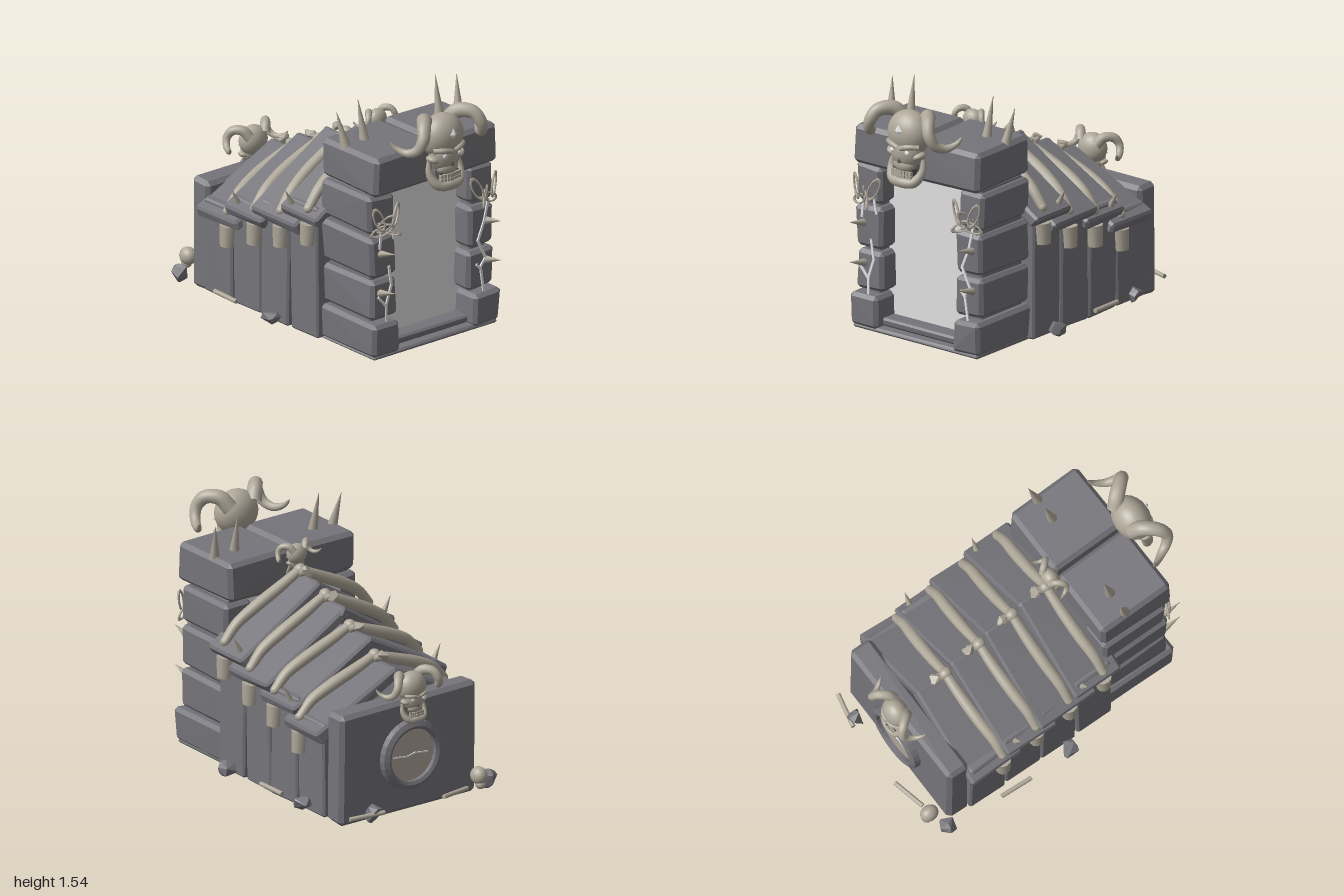
import * as THREE from 'three';
import { ConvexGeometry } from 'three/addons/geometries/ConvexGeometry.js';

const V = (x, y, z) => new THREE.Vector3(x, y, z);

export function createModel() {
  const root = new THREE.Group();
  root.name = 'crypt';
  const mat = (name, color, opts = {}) => {
    const m = new THREE.MeshStandardMaterial({ color, ...opts });
    m.name = name;
    return m;
  };
  const stoneMat = mat('stone', 0x75747a, { flatShading: true, side: THREE.DoubleSide });
  const boneMat = mat('bone', 0xaea799);
  const glowMat = mat('pale crack', 0xececee);
  const panelMat = mat('doorway grey', 0xe2e2e2, { side: THREE.DoubleSide });
  const darkMat = mat('socket', 0x55514a);

  let seed = 7;
  const rnd = () => (seed = (seed * 16807) % 2147483647) / 2147483647;

  const add = (name, geo, material, parent = root) => {
    const m = new THREE.Mesh(geo, material);
    m.name = name;
    parent.add(m);
    return m;
  };

  // Chamfered, slightly irregular block; corners only move inward
  const block = (name, c, size, bevel = 0.02, jitter = 0.02) => {
    const pts = [];
    for (const sx of [-1, 1]) for (const sy of [-1, 1]) for (const sz of [-1, 1]) {
      const s = [sx, sy, sz];
      const p = s.map((k, i) => k * (size[i] / 2 - rnd() * jitter));
      for (let f = 0; f < 3; f++) {
        const q = p.map((v, i) => (i === f ? v : v - s[i] * bevel));
        pts.push(V(...q));
      }
    }
    const m = add(name, new ConvexGeometry(pts), stoneMat);
    m.position.set(...c);
    return m;
  };

  // Irregular loose rock
  const rubble = (name, c, r, material = stoneMat) => {
    const pts = Array.from({ length: 14 }, () =>
      V(rnd() - 0.5, rnd() - 0.5, rnd() - 0.5).normalize().multiplyScalar(r * (0.85 + 0.3 * rnd())));
    add(name, new ConvexGeometry(pts), material).position.set(...c);
  };

  // Tapered rod between two points
  const rod = (name, a, b, r0, r1, parent = root, sides = 12) => {
    const d = b.clone().sub(a);
    const m = add(name, new THREE.CylinderGeometry(r1, r0, d.length(), sides), boneMat, parent);
    m.position.copy(a).lerp(b, 0.5);
    m.quaternion.setFromUnitVectors(V(0, 1, 0), d.normalize());
    return m;
  };

  // Tube along a smooth path with a radius that varies from 0 to 1
  const taper = (name, pts, radius, parent = root, n = 32, sides = 12) => {
    const path = new THREE.CatmullRomCurve3(pts);
    const g = new THREE.TubeGeometry(path, n, 1, sides);
    const pos = g.attributes.position, v = V(0, 0, 0);
    for (let i = 0; i <= n; i++) {
      const c = path.getPointAt(i / n), r = radius(i / n);
      for (let j = 0; j <= sides; j++) {
        const k = i * (sides + 1) + j;
        v.fromBufferAttribute(pos, k).sub(c).multiplyScalar(r).add(c);
        pos.setXYZ(k, v.x, v.y, v.z);
      }
    }
    return add(name, g, boneMat, parent);
  };

  const ball = (name, c, s, material, parent) => {
    const m = add(name, new THREE.SphereGeometry(1, 24, 16), material, parent);
    m.position.set(...c);
    m.scale.set(...s);
    return m;
  };

  // Horned skull, facing +z
  const skull = (name, pos, scale, yaw, gem) => {
    const g = new THREE.Group();
    g.name = name;
    g.position.set(...pos);
    g.rotation.y = yaw;
    g.scale.setScalar(scale);
    root.add(g);
    ball('cranium', [0, 0.02, -0.01], [0.142, 0.138, 0.11], boneMat, g);
    ball('face', [0, -0.085, 0.015], [0.108, 0.115, 0.08], boneMat, g);
    ball('muzzle', [0, -0.165, 0.04], [0.075, 0.05, 0.045], boneMat, g);
    for (const s of [-1, 1]) {
      ball('cheekbone', [s * 0.095, -0.105, 0.02], [0.042, 0.025, 0.045], boneMat, g).rotation.z = s * 0.4;
      ball('eye', [s * 0.056, -0.075, 0.085], [0.016, 0.014, 0.008], glowMat, g);
      taper('brow', [V(s * 0.012, -0.052, 0.088), V(s * 0.06, -0.038, 0.084), V(s * 0.115, -0.04, 0.045)], () => 0.017, g, 12);
      taper('horn', [V(s * 0.085, 0.075, -0.065), V(s * 0.13, 0.14, -0.02), V(s * 0.19, 0.135, 0.05),
        V(s * 0.225, 0.07, 0.085), V(s * 0.25, 0.005, 0.06), V(s * 0.28, -0.022, 0),
        V(s * 0.315, 0.0, -0.06), V(s * 0.335, 0.04, -0.09)],
      t => 0.05 * Math.pow(1 - t, 0.5) + 0.001, g, 40);
    }
    const nose = add('noseHole', new THREE.ConeGeometry(0.018, 0.04, 3), darkMat, g);
    nose.position.set(0, -0.125, 0.088);
    taper('jaw', [V(-0.105, -0.1, -0.01), V(-0.115, -0.2, 0.015), V(-0.08, -0.262, 0.05), V(0, -0.27, 0.065),
      V(0.08, -0.262, 0.05), V(0.115, -0.2, 0.015), V(0.105, -0.1, -0.01)],
    t => 0.008 + 0.027 * Math.sin(Math.PI * t), g);
    add('mouth', new THREE.BoxGeometry(0.14, 0.07, 0.05), darkMat, g).position.set(0, -0.222, 0.035);
    for (let i = -3; i <= 3; i++) for (const y of [-0.208, -0.235]) {
      const t = add('tooth', new THREE.BoxGeometry(0.019, 0.024, 0.02), boneMat, g);
      t.position.set(i * 0.022, y, 0.075 - Math.abs(i) * 0.004);
    }
    if (gem) {
      const d = add('foreheadGem', new THREE.OctahedronGeometry(1), glowMat, g);
      d.scale.set(0.026, 0.04, 0.015);
      d.position.set(0, 0.055, 0.095);
    }
  };
  skull('frontSkull', [0, 1.35, 0.87], 1, 0, true);
  skull('backSkull', [0, 0.79, -0.87], 0.67, Math.PI, false);
  skull('ridgeSkull', [0, 1.28, 0.27], 0.46, 0, false);

  // Portal: floor, sill, doorway panels front and inner
  block('portalFloor', [0, 0.045, 0.56], [0.96, 0.04, 0.5], 0.01, 0.01);
  block('sill', [0, 0.085, 0.68], [0.64, 0.06, 0.16], 0.012, 0.008);
  for (const z of [0.65, 0.26])
    add('doorwayPanel', new THREE.PlaneGeometry(0.64, 1.02), panelMat).position.set(0, 0.57, z);

  // Pillar rows: centre x, width, bottom, top, front z
  const rows = [[0.388, 0.215, 0.04, 0.26, 0.83], [0.375, 0.21, 0.265, 0.52, 0.787],
    [0.38, 0.21, 0.53, 0.8, 0.787], [0.385, 0.21, 0.815, 1.06, 0.775]];
  for (const s of [-1, 1]) {
    for (const [x, w, y0, y1, z] of rows)
      block('pillarStone', [s * x, (y0 + y1) / 2, (z + 0.31) / 2], [w, y1 - y0, z - 0.31], 0.022, 0.014);
    block('pillarCore', [s * 0.385, 0.55, 0.54], [0.12, 1.04, 0.38], 0.01, 0);
    block('lintelStone', [s * 0.241, 1.185, 0.555], [0.475, 0.26, 0.52], 0.025, 0.015);

    // Upright and forward spikes
    for (const [x, dx, h] of [[0.29, 0.01, 0.25], [0.435, 0.03, 0.21]])
      rod('lintelSpike', V(s * x, 1.29, 0.495), V(s * (x + dx), 1.3 + h, 0.445), 0.032, 0.001);
    for (const y of [0.7, 0.45])
      rod('pillarSpike', V(s * 0.41, y - 0.01, 0.77), V(s * 0.41, y + 0.03, 0.915), 0.026, 0.001, root, 8);

    // Hanging chain links
    for (const [x, y, tilt, turn] of [[0.445, 0.925, 0.35, 0.5], [0.315, 0.925, -0.45, -0.4],
      [0.39, 0.885, -0.7, 0.9], [0.37, 0.85, 1.2, 0.8], [0.42, 0.85, -1.2, 0.4]]) {
      const link = add('chainLink', new THREE.TorusGeometry(0.038, 0.007, 6, 10), boneMat);
      link.scale.set(0.75, 1.9, 1);
      link.position.set(s * x, y, 0.81);
      link.rotation.set(0, s * turn, -s * tilt);
    }
  }

  // Pale zigzag cracks on the pillar fronts and window
  const crack = (pts, z, w = 0.015) => {
    for (let i = 1; i < pts.length; i++) {
      const [ax, ay] = pts[i - 1], [bx, by] = pts[i];
      const m = add('crack', new THREE.BoxGeometry(w, Math.hypot(bx - ax, by - ay) + w / 2, 0.009), glowMat);
      m.position.set((ax + bx) / 2, (ay + by) / 2, z);
      m.rotation.z = Math.atan2(ax - bx, by - ay);
    }
  };
  crack([[0.42, 0.83], [0.39, 0.7], [0.34, 0.58], [0.4, 0.46], [0.36, 0.41], [0.385, 0.25]], 0.787);
  crack([[0.36, 0.4], [0.33, 0.43]], 0.787);
  crack([[-0.35, 0.6], [-0.33, 0.48], [-0.37, 0.36], [-0.37, 0.25]], 0.787);
  crack([[-0.43, 0.42], [-0.37, 0.35]], 0.787);
  crack([[-0.41, 0.82], [-0.42, 0.73]], 0.787);
  crack([[-0.33, 0.86], [-0.31, 0.77]], 0.787);

  // Stepped tunnel: [z front, z back, ridge y, eave y, rib z]
  const bays = [[0.38, 0.03, 1.18, 0.83, 0.25], [0.2, -0.22, 1.1, 0.74, 0.0],
    [-0.1, -0.47, 0.98, 0.68, -0.24], [-0.34, -0.72, 0.87, 0.59, -0.485]];
  bays.forEach(([z0, z1, ridge, eave, rz], i) => {
    const zc = (z0 + z1) / 2, wz = 0.34 - (i + 0.5) * 0.26;
    for (const s of [-1, 1]) {
      const top = eave + 0.04;
      const wall = block('wallStone', [s * 0.465, top / 2 + 0.015, wz], [0.13, top - 0.03, 0.265], 0.012, 0.012);
      wall.rotation.x = (i % 2 ? 1 : -1) * 0.012;
      // Sloping roof slab
      const ang = Math.atan2(ridge - eave, 0.57), len = Math.hypot(0.57, ridge - eave);
      const slab = block('roofSlab', [s * (0.292 - 0.045 * Math.sin(ang)), (ridge + eave) / 2 - 0.045 * Math.cos(ang), zc],
        [len + 0.035, 0.09, z0 - z1], 0.015, 0.015);
      slab.rotation.z = -s * ang;
      // Rib bowed over the slab, with a stub under the eave
      const at = (x, lift) => ridge + (eave - ridge) * x / 0.57 + lift;
      taper('rib', [V(0, ridge + 0.015, rz - 0.015), V(s * 0.13, at(0.13, 0.03), rz - 0.015),
        V(s * 0.32, at(0.32, 0.05), rz - 0.005), V(s * 0.45, at(0.45, 0.045), rz + 0.01), V(s * 0.53, at(0.53, 0.0), rz + 0.015)],
      t => 0.029 + 0.008 * Math.sin(Math.PI * t), root, 24);
      ball('ribEnd', [s * 0.53, at(0.53, 0), rz + 0.015], [0.029, 0.029, 0.029], boneMat, root);
      rod('ribStub', V(s * 0.535, eave - 0.2, rz + 0.015), V(s * 0.525, eave - 0.07, rz + 0.015), 0.045, 0.055);
      if (i % 2 === 0)
        rod('eaveSpike', V(s * 0.52, eave - 0.01, zc - 0.09), V(s * 0.58, eave + 0.105, zc - 0.09), 0.024, 0.001);
    }
    // Ridge vertebra with spur and chip
    ball('vertebra', [0, ridge + 0.02, rz - 0.015], [0.036, 0.034, 0.04], boneMat, root);
    rod('vertebraSpur', V(0, ridge, rz - 0.03), V(0.015, ridge + 0.03, rz - 0.09), 0.03, 0.015);
    rubble('ridgeChip', [0, ridge + 0.03, rz - 0.095], 0.037, boneMat);
  });

  // Back wall with round window
  block('backWall', [0, 0.365, -0.765], [1.02, 0.71, 0.16], 0.025, 0.014);
  const ring = add('windowRing', new THREE.LatheGeometry([[0.22, 0], [0.215, 0.045], [0.185, 0.06],
    [0.165, 0.05], [0.165, 0]].map(p => new THREE.Vector2(...p)), 28), stoneMat);
  ring.position.set(0, 0.37, -0.835);
  ring.rotation.x = -Math.PI / 2;
  const glass = add('windowDisc', new THREE.CylinderGeometry(0.17, 0.17, 0.03, 28), boneMat);
  glass.position.set(0, 0.37, -0.845);
  glass.rotation.x = Math.PI / 2;
  crack([[-0.12, 0.36], [-0.03, 0.375], [0.03, 0.362], [0.13, 0.375]], -0.861, 0.008);

  // Rubble and bones around the base
  for (const [x, y, z, r] of [[0.575, 0.09, 0.18, 0.055], [0.58, 0.085, -0.56, 0.055], [-0.58, 0.09, -0.02, 0.055],
    [-0.55, 0.09, -0.88, 0.06], [0.32, 0.08, -0.92, 0.06]]) rubble('rubble', [x, y, z], r);
  for (const [a, b] of [[[0.585, 0.1, -0.16], [0.585, 0.1, -0.37]], [[-0.6, 0.1, -0.31], [-0.59, 0.1, -0.52]],
    [[-0.36, 0.09, -0.93], [-0.15, 0.1, -0.98]], [[0.28, 0.1, -0.97], [0.5, 0.09, -0.92]]])
    rod('looseBone', V(...a), V(...b), 0.014, 0.014);
  ball('looseSkull', [-0.44, 0.155, -0.94], [0.048, 0.055, 0.058], boneMat, root);
  ball('looseSkullJaw', [-0.44, 0.105, -0.955], [0.03, 0.03, 0.035], boneMat, root);

  return root;
}
